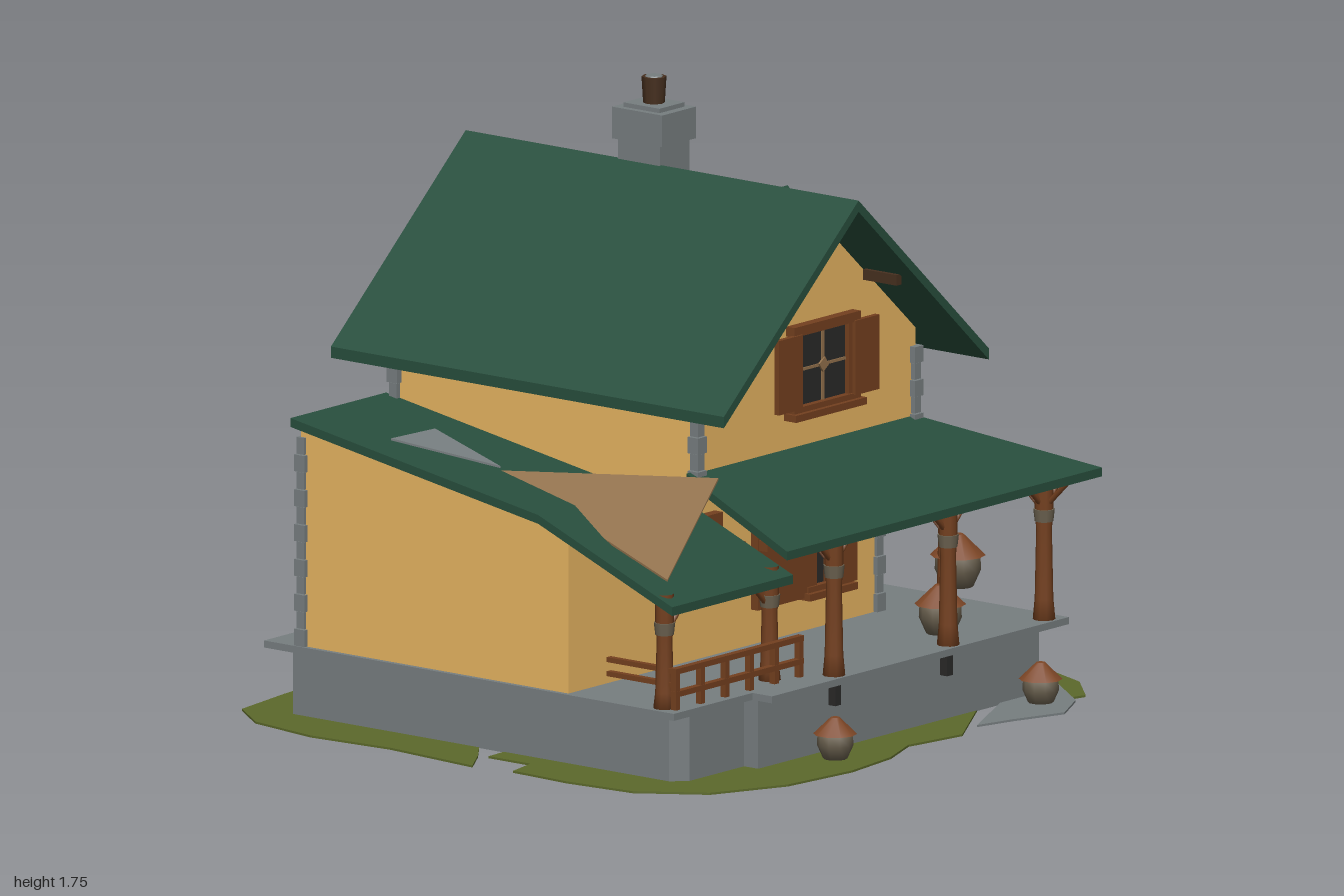
import * as THREE from 'three';

const paint = (name, color, side = THREE.FrontSide) => {
  const m = new THREE.MeshStandardMaterial({ color, side });
  m.name = name;
  return m;
};

export function createModel() {
  const root = new THREE.Group();
  root.name = 'cottage';
  const D = THREE.DoubleSide;
  const wall = paint('ochre wall', 0xecb863, D);
  const green = paint('green roof', 0x284e3d, D);
  const brown = paint('red brown wood', 0x74401f);
  const dark = paint('dark wood', 0x47301f);
  const stone = paint('grey stone', 0x777e80, D);
  const glass = paint('dark glass', 0x2a2928);
  const grass = paint('grass', 0x5c692b, D);
  const timber = paint('pale timber', 0x92714c, D);
  const clay = paint('clay pot', 0x6c6250);
  const soil = paint('rust soil', 0x7e4727);

  const add = (name, geo, mat, parent = root, x = 0, y = 0, z = 0) => {
    const m = new THREE.Mesh(geo, mat);
    m.name = name;
    m.position.set(x, y, z);
    parent.add(m);
    return m;
  };
  const box = (name, mat, x, y, z, w, h, d, parent = root) =>
    add(name, new THREE.BoxGeometry(w, h, d), mat, parent, x, y, z);
  // Round bar between two points
  const bar = (name, mat, a, b, r = 0.01) => {
    const p = new THREE.Vector3(...a), q = new THREE.Vector3(...b);
    const dir = q.clone().sub(p);
    const m = add(name, new THREE.CylinderGeometry(r, r, dir.length(), 6), mat);
    m.position.copy(p).add(q).multiplyScalar(0.5);
    m.quaternion.setFromUnitVectors(new THREE.Vector3(0, 1, 0), dir.normalize());
  };
  const toShape = pts => new THREE.Shape(pts.map(p => new THREE.Vector2(...p)));
  const rect = (x0, x1, z0, z1) => [[x0, z0], [x1, z0], [x1, z1], [x0, z1]];
  // Plate with an (x, z) outline whose top follows height f(x, z)
  const slab = (name, mat, outline, f, t, hole) => {
    const s = toShape(outline);
    if (hole) s.holes.push(toShape(hole));
    const g = new THREE.ExtrudeGeometry(s, { depth: t, bevelEnabled: false });
    const p = g.attributes.position;
    for (let i = 0; i < p.count; i++) {
      const x = p.getX(i), z = p.getY(i), d = p.getZ(i);
      p.setXYZ(i, x, f(x, z) - d, z);
    }
    g.computeVertexNormals();
    add(name, g, mat);
  };
  // Upright sheet: outline in (x, y) at z, or in (z, y) at x
  const sheetZ = (name, pts, z) => add(name, new THREE.ShapeGeometry(toShape(pts)), wall, root, 0, 0, z);
  const sheetX = (name, pts, x) => {
    const m = add(name, new THREE.ShapeGeometry(toShape(pts.map(([z, y]) => [-z, y]))), wall, root, x);
    m.rotation.y = Math.PI / 2;
  };

  // Broken lawn
  const flat = h => () => h;
  slab('lawn', grass, [[0.24, -0.84], [0.4, -0.9], [0.6, -0.92], [0.8, -0.87], [0.91, -0.74], [0.95, -0.5],
    [0.93, -0.15], [0.96, 0.1], [0.95, 0.3], [0.6, 0.62], [0.2, 0.87], [0, 0.84], [-0.15, 0.9], [-0.35, 0.925],
    [-0.6, 0.9], [-0.82, 0.8], [-0.94, 0.62], [-0.96, 0.4], [-0.95, 0.2], [-0.85, 0.18], [-0.85, 0.03], [-0.04, 0]], flat(0.012), 0.006);
  slab('lawn back patch', grass, [[0.2, -0.82], [0.04, -0.87], [-0.1, -0.92], [-0.32, -0.935], [-0.6, -0.91], [-0.82, -0.88],
    [-0.92, -0.75], [-0.96, -0.52], [-0.94, -0.25], [-0.97, 0.07], [-0.86, 0.0]], flat(0.012), 0.006);
  slab('lawn corner patch', grass, [[0.72, 0.8], [0.8, 0.82], [0.92, 0.7], [0.98, 0.55], [0.84, 0.62]], flat(0.012), 0.006);
  slab('path stone', stone, [[0.3, 0.84], [0.42, 0.87], [0.58, 0.925], [0.72, 0.85], [0.85, 0.68], [0.62, 0.68]], flat(0.016), 0.006);
  slab('path edge stone', stone, [[0.85, 0.52], [0.96, 0.36], [0.98, 0.5], [0.88, 0.6]], flat(0.016), 0.006);

  // Terrace
  slab('foundation', stone, [[-0.78, -0.73], [0.73, -0.73], [0.77, -0.69], [0.77, 0.67], [0.73, 0.71], [-0.5, 0.71],
    [-0.5, 0.66], [-0.74, 0.66], [-0.78, 0.62]], flat(0.21), 0.2, rect(-0.75, 0.74, -0.7, 0.63));
  slab('deck', stone, [[-0.845, -0.78], [0.8, -0.78], [0.8, 0.76], [-0.5, 0.76], [-0.5, 0.69], [-0.845, 0.69]],
    flat(0.225), 0.02, rect(-0.81, 0.51, -0.64, 0.28));

  // House walls
  const gable = y => [[-0.42, y], [0.53, y], [0.53, 1.05], [0.05, 1.48], [-0.42, 1.09]];
  sheetZ('back wall', gable(0.22), -0.66);
  sheetZ('front gable wall', gable(0.72), 0.43);
  sheetZ('front lower wall', [[-0.83, 0.22], [0.53, 0.22], [0.53, 0.78], [-0.42, 0.78], [-0.42, 0.65], [-0.83, 0.65]], 0.3);
  const side = (y0, y1) => [[-0.66, y0], [0.3, y0], [0.3, 0.74], [0.43, 0.74], [0.43, y1], [-0.66, y1]];
  sheetX('left side wall', side(0.22, 1.05), 0.53);
  sheetX('right side wall', side(0.22, 1.09), -0.42);
  slab('overhang floor', wall, rect(-0.42, 0.53, 0.3, 0.43), flat(0.75), 0.01);
  slab('attic floor', wall, rect(0.05, 0.52, -0.65, -0.15), flat(0.85), 0.01);
  // Lean-to walls
  sheetX('wing side wall', [[-0.66, 0.22], [0.3, 0.22], [0.3, 0.65], [0.2, 0.69], [-0.66, 0.84]], -0.83);
  sheetZ('wing back wall', rect(-0.83, -0.42, 0.22, 0.84), -0.66);

  // Stone quoins
  const quoin = (x, z, y0, y1) => {
    const n = Math.round((y1 - y0) / 0.05), h = (y1 - y0) / n;
    for (let i = 0; i < n; i++) {
      const w = i % 2 ? 0.028 : 0.038;
      box('quoin', stone, x, y0 + (i + 0.5) * h, z, w, h * 0.96, w);
    }
  };
  quoin(-0.425, 0.43, 0.76, 1.05);
  quoin(0.525, 0.43, 0.76, 1.0);
  quoin(0.525, -0.65, 0.225, 1.0);
  quoin(-0.42, -0.655, 0.225, 1.05);
  quoin(0.525, 0.295, 0.225, 0.7);
  quoin(-0.825, -0.655, 0.225, 0.82);

  // Main roof, with the broken rear part of its left slope and a gap for the dormer
  const right = x => 1.52 - (0.05 - x) * 0.87, left = x => 1.52 - (x - 0.05) * 0.91;
  slab('roof right slope', green, rect(-0.54, 0.05, -0.79, 0.62), right, 0.032);
  slab('roof left slope', green, [[0.05, 0.62], [0.05, -0.79], [0.09, -0.79], [0.33, -0.33], [0.5, -0.33], [0.58, -0.79],
    [0.62, -0.79], [0.62, -0.3], [0.5, -0.3], [0.5, 0], [0.62, 0], [0.62, 0.62]], left, 0.032);
  bar('rear rafter', timber, [0.06, 1.48, -0.77], [0.6, 0.99, -0.77], 0.012);
  bar('rear rafter', timber, [0.08, 1.45, -0.68], [0.54, 1.03, -0.68], 0.01);
  bar('upper purlin', timber, [0.15, 1.39, -0.78], [0.15, 1.39, -0.5], 0.016);
  bar('middle batten', green, [0.4, 1.17, -0.78], [0.4, 1.17, -0.3], 0.012);
  bar('lower purlin', timber, [0.53, 1.05, -0.78], [0.53, 1.05, -0.45], 0.014);
  for (const z of [0.5, -0.71]) {
    for (const x of [-0.46, -0.25, 0.05, 0.3]) {
      box('purlin end', dark, x, (x > 0.05 ? left(x) : right(x)) - 0.05, z, 0.02, 0.03, 0.12);
    }
  }

  // Dormer
  const dormer = toShape([[-0.14, 0.84], [0.14, 0.84], [0.14, 1.15], [0, 1.3], [-0.14, 1.15]]);
  const body = add('dormer body', new THREE.ExtrudeGeometry(dormer, { depth: 0.2, bevelEnabled: false }), wall, root, 0.4, 0, -0.145);
  body.rotation.y = Math.PI / 2;
  for (const s of [1, -1]) {
    slab('dormer roof', green, [[0.23, -0.15], [0.68, -0.15], [0.68, -0.15 + s * 0.275], [0.53, -0.15 + s * 0.275]],
      (x, z) => 1.345 - Math.abs(z + 0.15) * 1.07, 0.03);
    box('dormer eave bracket', brown, 0.64, 1.08, -0.15 + s * 0.2, 0.08, 0.03, 0.02);
  }
  for (const z of [-0.25, -0.15, -0.05]) bar('dormer bracket', brown, [0.53, 0.8, z], [0.62, 0.87, z], 0.012);

  // Wrap-around porch roof
  slab('porch front roof', green, [[-0.46, 0.42], [0.53, 0.43], [0.86, 0.83], [-0.52, 0.83]], (x, z) => 0.8 - (z - 0.43) * 0.375, 0.025);
  slab('porch side roof', green, [[0.53, 0.43], [0.86, 0.83], [0.86, -0.75], [0.53, -0.68]], x => 0.8 - (x - 0.53) * 0.4545, 0.025);
  box('porch front beam', brown, 0.13, 0.645, 0.72, 1.24, 0.03, 0.03);
  box('porch side beam', brown, 0.74, 0.645, 0.05, 0.03, 0.03, 1.34);
  for (let i = 0; i < 6; i++) {
    const t = -0.4 + i * 0.2;
    bar('front rafter', brown, [t, 0.73, 0.5], [t, 0.64, 0.78], 0.012);
    bar('side rafter', brown, [0.57, 0.74, t - 0.2], [0.82, 0.64, t - 0.2], 0.012);
  }

  // Lean-to roof with its torn patch
  const wingA = (x, z) => 0.72 - (z - 0.2) * 0.168, wingB = (x, z) => 0.72 - (z - 0.2) * 0.404;
  slab('wing upper roof', green, rect(-0.84, -0.42, -0.69, 0.2), wingA, 0.025);
  slab('wing lower roof', green, rect(-0.84, -0.31, 0.2, 0.68), wingB, 0.025);
  slab('torn grey sheet', stone, [[-0.74, -0.41], [-0.56, -0.4], [-0.64, -0.1]], (x, z) => wingA(x, z) + 0.012, 0.006);
  slab('torn timber sheet', timber, [[-0.64, -0.1], [-0.54, 0.6], [-0.8, 0.63]],
    (x, z) => 0.77 + (x + 0.64) * 0.918 - (z + 0.1) * 0.045, 0.006);

  // Chimney
  box('chimney shaft', stone, 0.112, 1.46, -0.165, 0.13, 0.3, 0.15);
  box('chimney cap', stone, 0.112, 1.62, -0.165, 0.148, 0.09, 0.18);
  box('chimney rim', stone, 0.112, 1.67, -0.165, 0.11, 0.015, 0.13);
  add('chimney pot', new THREE.CylinderGeometry(0.035, 0.03, 0.08, 8), dark, root, 0.112, 1.712, -0.165);
  add('chimney pot top', new THREE.CylinderGeometry(0.024, 0.03, 0.01, 8), stone, root, 0.112, 1.75, -0.165);

  // Framed windows, facing +z before turning; bars of the given material, or a small star
  const windowAt = (name, x, y, z, turn, w, h, barMat, shutter = 0) => {
    const g = new THREE.Group();
    g.name = name;
    g.position.set(x, y, z);
    g.rotation.y = turn;
    root.add(g);
    box('pane', glass, 0, 0, 0.006, w, h, 0.008, g);
    for (const s of [1, -1]) {
      box('frame rail', brown, 0, s * h / 2, 0.015, w + 0.06, 0.028, 0.03, g);
      box('frame post', brown, s * w / 2, 0, 0.012, 0.03, h, 0.024, g);
      if (shutter) box('shutter', brown, s * (w / 2 + shutter / 2), 0, 0.028, shutter, h * 0.92, 0.016, g);
    }
    if (barMat) {
      box('mullion', barMat, 0, 0, 0.011, 0.01, h, 0.006, g);
      box('glazing bar', barMat, 0, 0, 0.011, w, 0.008, 0.006, g);
    } else {
      box('glazing star', timber, 0, 0, 0.011, 0.024, 0.03, 0.006, g).rotation.z = 0.6;
    }
    box('sill', brown, 0, -h / 2 - 0.012, 0.022, w + 0.08, 0.02, 0.044, g);
  };
  const H = Math.PI / 2;
  windowAt('gable window', 0.11, 1.02, 0.43, 0, 0.23, 0.23, timber, 0.105);
  windowAt('back window', 0.12, 1.01, -0.66, Math.PI, 0.46, 0.23, brown);
  windowAt('dormer window', 0.6, 1.015, -0.15, H, 0.23, 0.24);
  windowAt('side window', 0.53, 0.45, -0.11, H, 0.25, 0.27);
  windowAt('porch window', 0.28, 0.45, 0.3, 0, 0.13, 0.22, brown);
  box('gable window star', timber, 0.11, 1.02, 0.445, 0.03, 0.03, 0.006).rotation.z = 0.6;
  box('front door', brown, 0.09, 0.46, 0.312, 0.24, 0.27, 0.024);
  box('door latch', glass, 0.11, 0.52, 0.327, 0.04, 0.02, 0.006);
  box('front shutter', brown, 0.36, 0.45, 0.325, 0.07, 0.22, 0.016);
  box('side hatch', brown, 0.537, 0.43, -0.36, 0.02, 0.1, 0.15);
  box('hatch lamp', clay, 0.55, 0.42, -0.34, 0.02, 0.03, 0.04);
  box('back shutter', brown, -0.55, 0.6, -0.67, 0.15, 0.27, 0.02);
  box('porch lintel', brown, -0.33, 0.61, 0.315, 0.28, 0.05, 0.03);
  for (const [x, y, h] of [[-0.09, 0.47, 0.12], [-0.16, 0.54, 0.04], [-0.22, 0.51, 0.05]]) {
    box('wall hook', brown, x, y, 0.31, 0.025, h, 0.02);
  }

  // Turned posts with collars and braces
  const post = (x, z, top) => {
    const h = top - 0.22;
    const prof = [[0, 0], [0.032, 0], [0.026, 0.15], [0.022, 0.6], [0.026, 0.75], [0.026, 1]].map(([r, t]) => new THREE.Vector2(r, t * h));
    add('post', new THREE.LatheGeometry(prof, 10), brown, root, x, 0.22, z);
    add('post collar', new THREE.CylinderGeometry(0.03, 0.026, 0.035, 10), clay, root, x, 0.22 + h * 0.7, z);
  };
  for (const [x, z] of [[-0.18, 0.72], [0.32, 0.72], [0.74, 0.72], [0.74, 0.37], [0.74, -0.52]]) {
    post(x, z, 0.65);
    for (const s of [1, -1]) {
      if (z === 0.72) bar('brace', brown, [x, 0.54, z], [x + s * 0.1, 0.64, z], 0.008);
      if (x === 0.74) bar('brace', brown, [x, 0.54, z], [x, 0.64, z + s * 0.1], 0.008);
    }
    bar('rafter brace', brown, [x, 0.53, z], z === 0.72 ? [x, 0.67, z - 0.16] : [x - 0.16, 0.67, z], 0.008);
  }
  for (const x of [-0.8, -0.34]) {
    post(x, 0.62, 0.55);
    bar('wing brace', brown, [x, 0.43, 0.62], [x + (x < -0.5 ? 0.1 : -0.1), 0.53, 0.62], 0.008);
  }
  for (const x of [-0.18, 0.31]) box('deck bracket', glass, x, 0.175, 0.72, 0.025, 0.07, 0.03);
  box('deck bracket', glass, 0.78, 0.175, -0.48, 0.03, 0.06, 0.03);

  // Porch railing
  for (const y of [0.27, 0.335]) box('rail', brown, -0.53, y, 0.66, 0.56, 0.016, 0.02);
  for (const y of [0.295, 0.335]) box('end rail', brown, -0.8, y, 0.54, 0.018, 0.014, 0.24);
  for (let i = 0; i < 6; i++) box('rail post', brown, -0.8 + i * 0.108, 0.28, 0.66, 0.018, 0.12, 0.018);

  // Plant pots heaped with soil
  for (const [x, y, z, s] of [[0.42, 0.225, 0.61, 1], [0.6, 0.225, -0.63, 0.75], [0.79, 0.26, 0.37, 1.08], [-0.26, 0.012, 0.79, 0.85], [0.64, 0.012, 0.79, 0.85]]) {
    const prof = [[0, 0], [0.04, 0], [0.06, 0.045], [0.058, 0.08], [0.045, 0.09]].map(([r, t]) => new THREE.Vector2(r * s, t * s));
    add('pot', new THREE.LatheGeometry(prof, 10), clay, root, x, y, z);
    add('pot heap', new THREE.CylinderGeometry(0.015 * s, 0.072 * s, 0.055 * s, 10), soil, root, x, y + 0.11 * s, z);
  }

  // Side steps
  for (const z of [0.02, -0.21]) bar('step stringer', stone, [0.8, 0.19, z], [0.97, 0.015, z], 0.014);
  for (let i = 0; i < 4; i++) box('tread', stone, 0.83 + i * 0.044, 0.165 - i * 0.046, -0.095, 0.056, 0.014, 0.28);

  return root;
}
